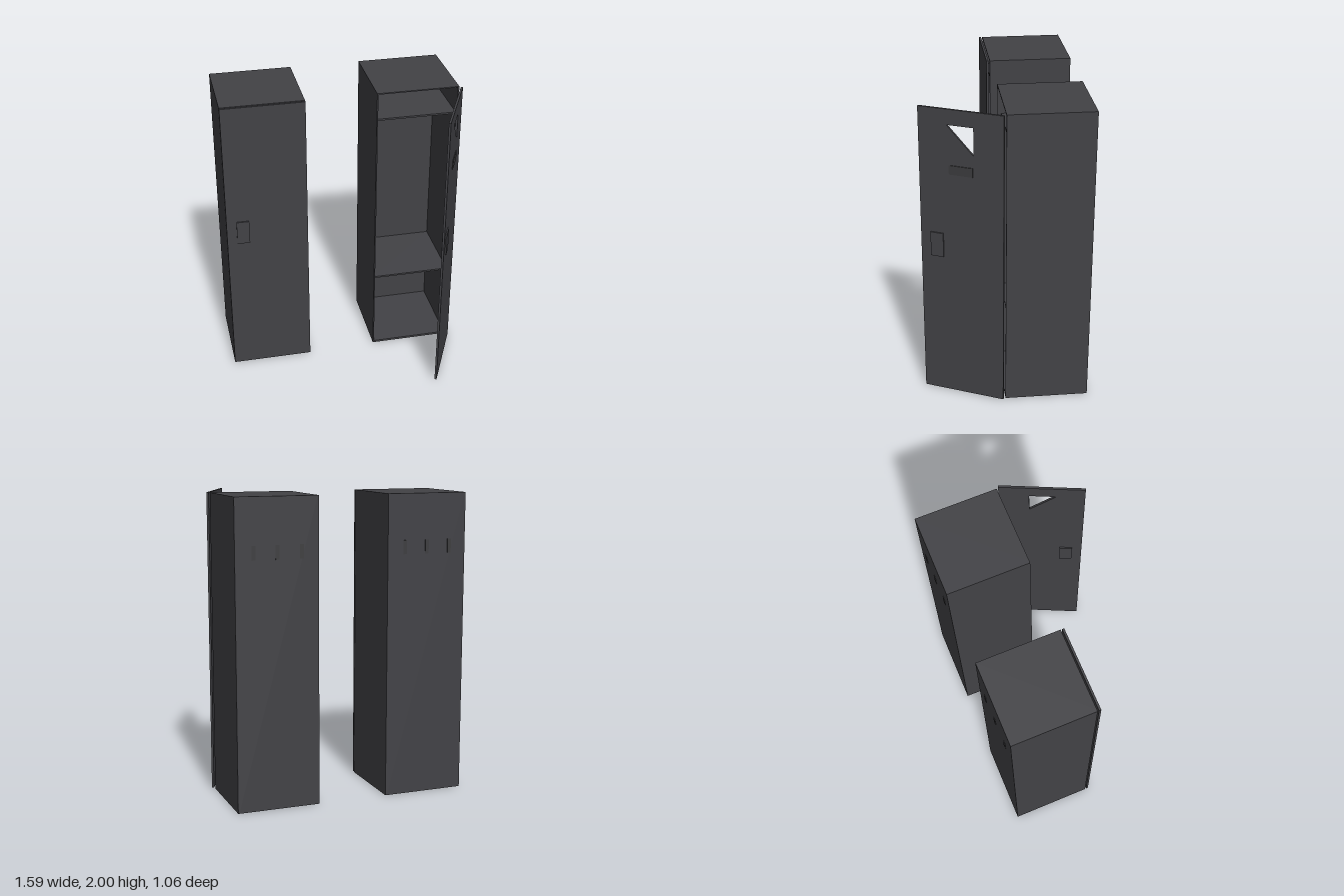
import * as THREE from 'three';

const steel = new THREE.MeshStandardMaterial({ color: 0x424246 });
steel.name = 'dark steel';
const trim = new THREE.MeshStandardMaterial({ color: 0x3c3c3e });
trim.name = 'dark trim';

const W = 0.55, H = 2, T = 0.008;
const BACK = -0.53, FRONT = 0.015, DEPTH = FRONT - BACK, MID = (FRONT + BACK) / 2;

function box(parent, name, size, pos, material = steel) {
  const mesh = new THREE.Mesh(new THREE.BoxGeometry(...size), material);
  mesh.name = name;
  mesh.position.set(...pos);
  parent.add(mesh);
  return mesh;
}

// Open-fronted sheet metal cabinet with two shelves and three hooks
function cabinet() {
  const g = new THREE.Group();
  g.name = 'cabinet';
  for (const s of [-1, 1]) box(g, 'sideWall', [T, H, DEPTH], [s * (W - T) / 2, H / 2, MID]);
  const inner = W - 2 * T;
  box(g, 'backWall', [inner, H, T], [0, H / 2, BACK + T / 2]);
  box(g, 'roof', [inner, T, DEPTH - T], [0, H - T / 2, MID + T / 2]);
  box(g, 'floor', [inner, 0.015, DEPTH - T], [0, 0.0075, MID + T / 2]);
  for (const y of [1.8, 0.56]) box(g, 'shelf', [inner, 0.012, DEPTH - 0.03], [0, y, MID - 0.01]);

  // Hooks: mounting plate through the back wall, with an upturned prong
  for (const x of [-0.16, 0, 0.155]) {
    const hook = new THREE.Group();
    hook.name = 'coatHook';
    hook.position.set(x, 1.655, BACK);
    box(hook, 'hookPlate', [0.025, 0.09, 0.018], [0, 0, 0.005], trim);
    box(hook, 'hookArm', [0.012, 0.012, 0.04], [0, -0.025, 0.032], trim);
    box(hook, 'hookTip', [0.012, 0.04, 0.01], [0, -0.011, 0.047], trim);
    g.add(hook);
  }
  return g;
}

// Door hanging from its hinge edge at x = 0 and reaching to -x
function door(vented) {
  const g = new THREE.Group();
  g.name = vented ? 'openDoor' : 'closedDoor';
  const L = 0.549, thick = 0.014;
  const shape = new THREE.Shape([[-L, 0.004], [0, 0.004], [0, H], [-L, H]].map(p => new THREE.Vector2(...p)));
  if (vented) {
    // Triangular opening near the top
    shape.holes.push(new THREE.Path([[-0.365, 1.9], [-0.193, 1.9], [-0.193, 1.72]].map(p => new THREE.Vector2(...p))));
  }
  const panel = new THREE.Mesh(new THREE.ExtrudeGeometry(shape, { depth: thick, bevelEnabled: false }), steel);
  panel.name = 'doorPanel';
  panel.position.z = -thick / 2;
  g.add(panel);
  if (vented) box(g, 'namePlate', [0.155, 0.06, 0.006], [-0.275, 1.61, thick / 2 + 0.002], trim);
  // Latch body passing through the panel
  box(g, 'latch', [0.085, 0.165, 0.032], [-0.44, 1.088, 0], steel);
  return g;
}

export function createModel() {
  const model = new THREE.Group();
  model.name = 'lockers';

  const closed = new THREE.Group();
  closed.name = 'closedLocker';
  closed.add(cabinet());
  closed.position.x = -0.522;
  const shut = door(false);
  shut.position.set(W / 2 - 0.001, 0, 0.031);
  closed.add(shut);

  const open = new THREE.Group();
  open.name = 'openLocker';
  open.add(cabinet());
  open.position.x = 0.5;
  const ajar = door(true);
  ajar.position.set(0.287, 0, 0.03);
  ajar.rotation.y = 1.135;
  open.add(ajar);

  model.add(closed, open);
  return model;
}
